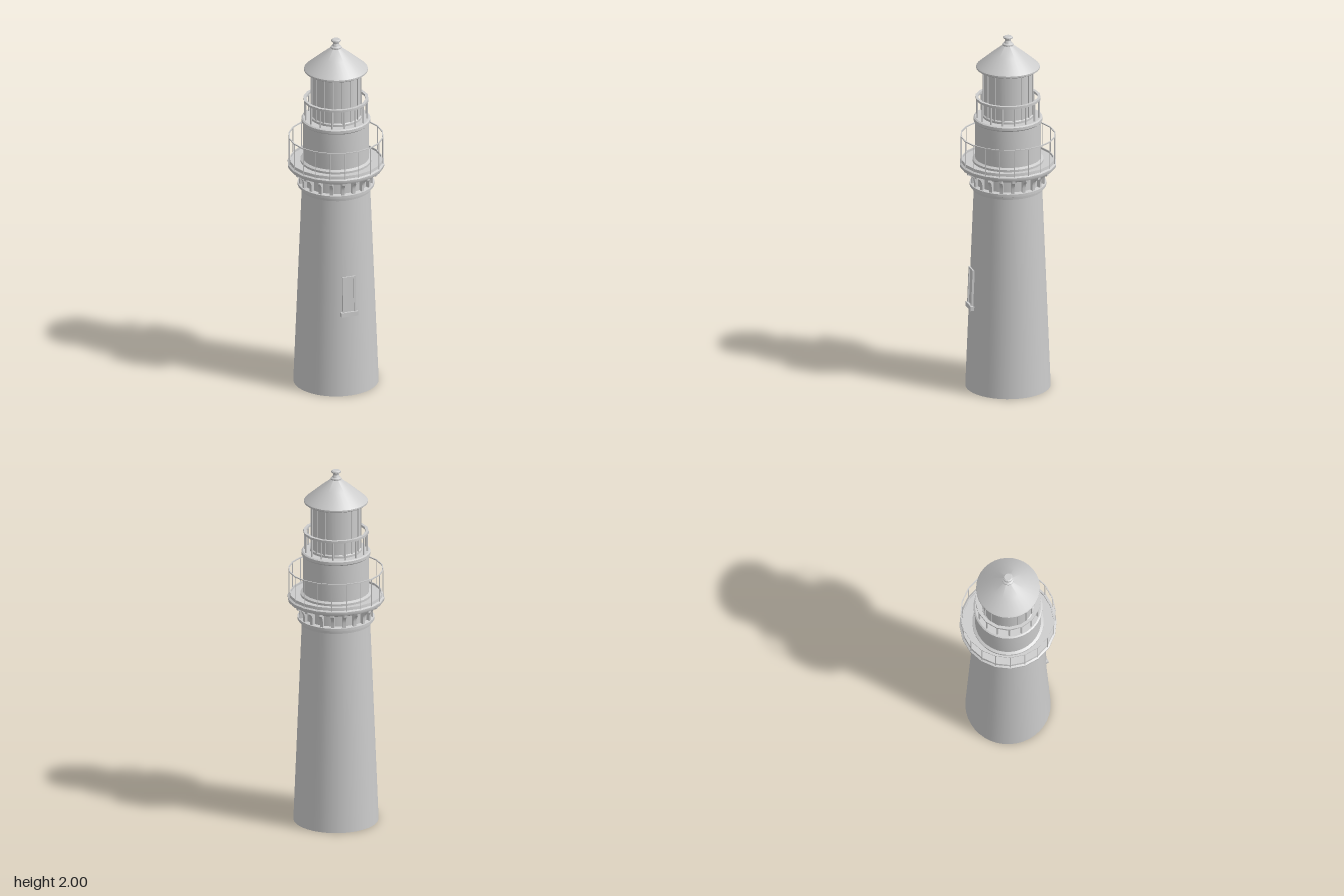
import * as THREE from 'three';
import { toCreasedNormals } from 'three/addons/utils/BufferGeometryUtils.js';

const material = new THREE.MeshStandardMaterial({ color: 0xcccccc, side: THREE.DoubleSide });

function add(parent, name, geometry) {
  const mesh = new THREE.Mesh(geometry, material);
  mesh.name = name;
  parent.add(mesh);
  return mesh;
}

// Turned part from [radius, height] pairs, listed bottom to top
function turned(parent, name, points, sides = 32) {
  const lathe = new THREE.LatheGeometry(points.map(([r, y]) => new THREE.Vector2(r, y)), sides);
  return add(parent, name, toCreasedNormals(lathe, 0.5));
}

// Copies of one geometry, spaced evenly around the tower axis
function around(parent, name, count, geometry) {
  const group = new THREE.Group();
  group.name = name + 's';
  for (let i = 0; i < count; i++) {
    add(group, name, geometry).rotation.y = (i / count) * Math.PI * 2;
  }
  parent.add(group);
}

// Closed hoop with a rectangular section
function hoop(parent, name, inner, outer, y0, y1, sides) {
  turned(parent, name, [[inner, y0], [outer, y0], [outer, y1], [inner, y1], [inner, y0]], sides);
}

export function createModel() {
  const model = new THREE.Group();
  model.name = 'lighthouse';

  // Tapered tower and the collar at its head
  turned(model, 'tower', [[0, 0], [0.23, 0], [0.184, 1.14], [0.184, 1.27]], 40);
  turned(model, 'collar', [[0.184, 1.13], [0.192, 1.13], [0.194, 1.145], [0.207, 1.15],
    [0.207, 1.165], [0.184, 1.17]]);

  // Curved brackets under the gallery
  const profile = new THREE.Shape();
  profile.moveTo(0.18, 1.165);
  profile.lineTo(0.2, 1.165);
  profile.lineTo(0.2, 1.195);
  profile.quadraticCurveTo(0.207, 1.235, 0.242, 1.24);
  profile.lineTo(0.242, 1.268);
  profile.lineTo(0.18, 1.268);
  const bracket = new THREE.ExtrudeGeometry(profile, { depth: 0.018, bevelEnabled: false, curveSegments: 6 });
  bracket.translate(0, 0, -0.009);
  around(model, 'bracket', 20, toCreasedNormals(bracket, 0.5));

  // Gallery floor with its moulded rim
  turned(model, 'bracketCornice', [[0.184, 1.225], [0.205, 1.235], [0.22, 1.252], [0.23, 1.265]], 20);
  turned(model, 'galleryFloor', [[0.17, 1.262], [0.245, 1.262], [0.245, 1.288], [0.17, 1.288]], 20);
  turned(model, 'galleryRim', [[0.245, 1.258], [0.258, 1.258], [0.262, 1.268], [0.262, 1.278],
    [0.252, 1.284], [0.25, 1.3], [0.245, 1.3], [0.245, 1.258]], 20);

  // Thin lower railing
  const post = new THREE.CylinderGeometry(0.0025, 0.0025, 0.16, 6);
  post.translate(0.255, 1.357, 0);
  around(model, 'galleryPost', 20, post);
  hoop(model, 'galleryRail', 0.2515, 0.2575, 1.432, 1.438, 20);

  // Watch room drum with base and top mouldings
  turned(model, 'watchRoom', [[0.192, 1.285], [0.192, 1.3], [0.178, 1.308], [0.178, 1.515],
    [0.186, 1.522], [0.186, 1.538], [0.178, 1.543], [0, 1.543]]);

  // Upper railing
  const upperPost = new THREE.CylinderGeometry(0.005, 0.005, 0.112, 6);
  upperPost.translate(0.169, 1.594, 0);
  around(model, 'lanternPost', 16, upperPost);
  hoop(model, 'lanternRail', 0.161, 0.177, 1.643, 1.656, 16);

  // Lantern room with upright glazing bars
  turned(model, 'lanternRoom', [[0.14, 1.54], [0.14, 1.555], [0.133, 1.56], [0.133, 1.805],
    [0.14, 1.81], [0.14, 1.825]], 32);
  const bar = new THREE.BoxGeometry(0.008, 0.27, 0.01);
  bar.translate(0.134, 1.68, 0);
  around(model, 'glazingBar', 16, bar);

  // Conical roof with eave, and finial
  turned(model, 'roof', [[0, 1.815], [0.165, 1.815], [0.172, 1.82], [0.172, 1.829],
    [0.165, 1.836], [0.09, 1.9], [0.025, 1.952], [0, 1.952]], 32);
  turned(model, 'finial', [[0.02, 1.943], [0.03, 1.946], [0.03, 1.956], [0.021, 1.962], [0.015, 1.975],
    [0.017, 1.984], [0.026, 1.988], [0.026, 1.995], [0.019, 2], [0, 2]], 12);

  // Window set on the tower's sloping face
  const pivot = new THREE.Group();
  pivot.name = 'window';
  pivot.rotation.y = 0.47;
  const leaning = new THREE.Group();
  leaning.name = 'windowFrame';
  leaning.position.set(0, 0.58, 0.2065);
  leaning.rotation.x = -0.04;
  const box = (name, w, h, d, x, y, z) =>
    add(leaning, name, new THREE.BoxGeometry(w, h, d)).position.set(x, y, z);
  for (const side of [-1, 1]) box('jamb', 0.011, 0.205, 0.024, side * 0.0325, 0, -0.004);
  box('lintel', 0.076, 0.012, 0.024, 0, 0.102, -0.004);
  box('sill', 0.098, 0.025, 0.04, 0, -0.107, -0.006);
  box('pane', 0.058, 0.2, 0.014, 0, 0, -0.006);
  pivot.add(leaning);
  model.add(pivot);

  return model;
}
